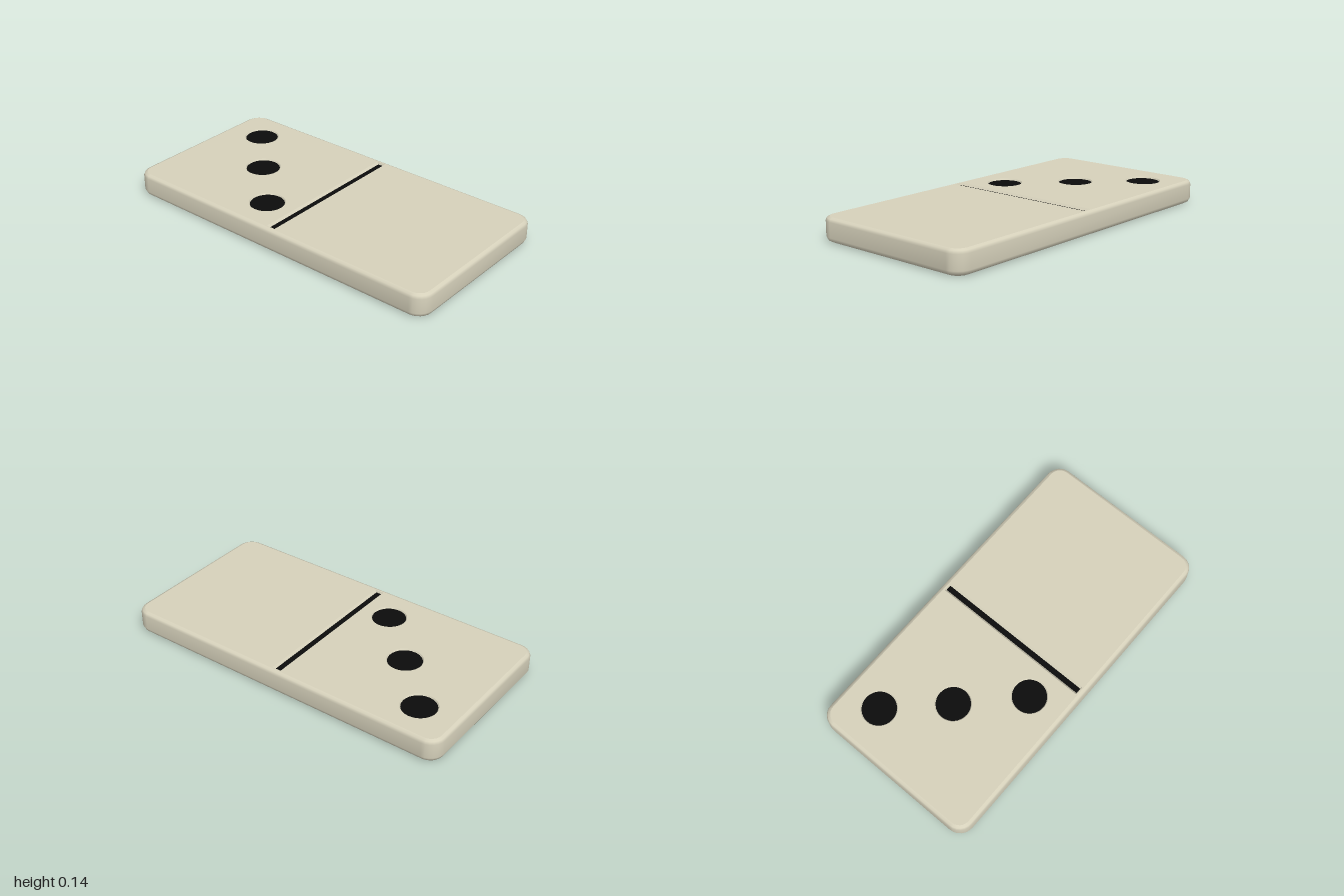
import * as THREE from 'three';

const H = 0.135; // tile thickness
const ivory = new THREE.MeshStandardMaterial({ color: 0xd6d1bb });
const black = new THREE.MeshStandardMaterial({ color: 0x0c0c0c });

// Outlines run counter-clockwise in plan (x, -z)
function roundedRect(hx, hy, r, steps = 6) {
  const pts = [];
  [[1, 1], [-1, 1], [-1, -1], [1, -1]].forEach(([sx, sy], k) => {
    for (let i = 0; i <= steps; i++) {
      const a = (k + i / steps) * Math.PI / 2;
      pts.push(new THREE.Vector2(sx * (hx - r) + r * Math.cos(a), sy * (hy - r) + r * Math.sin(a)));
    }
  });
  return pts;
}

function circle(cx, cy, r, n = 32) {
  return Array.from({ length: n }, (_, i) => {
    const a = i / n * Math.PI * 2;
    return new THREE.Vector2(cx + r * Math.cos(a), cy + r * Math.sin(a));
  });
}

// Skin through stacked outlines: [points, y]. Upward faces out, downward faces in.
function loft(levels) {
  const pos = [], index = [], n = levels[0][0].length;
  levels.forEach(([pts, y], l) => pts.forEach((p, j) => {
    pos.push(p.x, y, -p.y);
    if (l === levels.length - 1) return;
    const a = l * n + j, b = l * n + (j + 1) % n;
    index.push(a, b, b + n, a, b + n, a + n);
  }));
  const g = new THREE.BufferGeometry();
  g.setAttribute('position', new THREE.Float32BufferAttribute(pos, 3));
  g.setIndex(index);
  g.computeVertexNormals();
  return g;
}

// Flat horizontal face with optional holes
function face(pts, y, holes = [], down = false) {
  const shape = new THREE.Shape(pts);
  holes.forEach(h => shape.holes.push(new THREE.Path(h)));
  const g = new THREE.ShapeGeometry(shape);
  if (down) g.rotateX(Math.PI / 2); else g.rotateX(-Math.PI / 2);
  return g.translate(0, y, 0);
}

export function createModel() {
  const group = new THREE.Group();
  const add = (name, geometry, material, parent = group) => {
    const m = new THREE.Mesh(geometry, material);
    m.name = name;
    parent.add(m);
  };
  const tile = inset => roundedRect(0.5 - inset, 1 - inset, 0.085 - inset);

  // Recesses: three pips on the diagonal and the dividing groove
  const recesses = [[-0.285, 0.195], [0, 0.49], [0.285, 0.765]].map(([x, y]) => ({
    name: 'pip', rim: circle(x, y, 0.1), floor: circle(x, y, 0.095), depth: 0.008,
  }));
  const bar = (hx, hy) => roundedRect(hx, hy, 0.002, 1);
  recesses.push({ name: 'dividingGroove', rim: bar(0.47, 0.027), floor: bar(0.465, 0.016), depth: 0.012 });

  // Rounded rim, top and bottom of the tile
  add('tileSide', loft([[0.028, 0], [0.01, 0.01], [0, 0.03], [0, 0.113], [0.007, 0.128], [0.022, H]]
    .map(([inset, y]) => [tile(inset), y])), ivory);
  add('tileTop', face(tile(0.022), H, recesses.map(r => r.rim)), ivory);
  add('tileBottom', face(tile(0.028), 0, [], true), ivory);

  // Sloped recess walls and black floors
  for (const { name, rim, floor, depth } of recesses) {
    const part = new THREE.Group();
    part.name = name;
    group.add(part);
    add(name + 'Wall', loft([[rim, H], [floor, H - depth]]), ivory, part);
    add(name + 'Floor', face(floor, H - depth), black, part);
  }
  return group;
}
